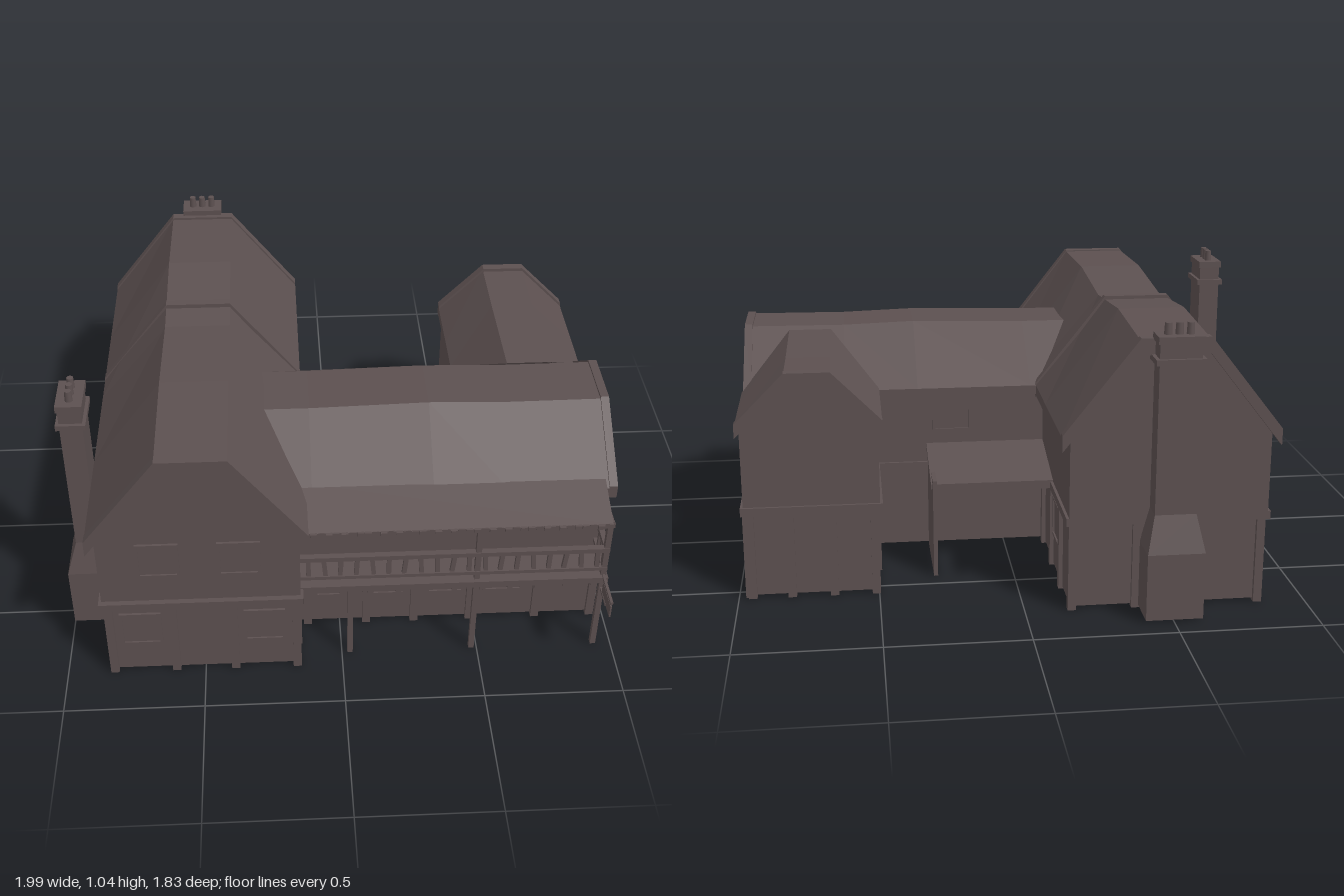
import * as THREE from 'three';

const plaster = new THREE.MeshStandardMaterial({ color: 0x5c5050 });
plaster.name = 'umber grey';

// Sweep a counter-clockwise (u, v) polygon through stations; place() gives the 3D point.
function loft(poly, stations, place) {
  const ring = stations.map((s) => poly.map(([u, v]) => place(u, v, s)));
  const pos = [];
  const tri = (a, b, c) => pos.push(...a, ...b, ...c);
  const n = poly.length;
  for (let k = 0; k + 1 < ring.length; k++) {
    for (let i = 0; i < n; i++) {
      const j = (i + 1) % n, p = ring[k], q = ring[k + 1];
      tri(p[i], p[j], q[j]);
      tri(p[i], q[j], q[i]);
    }
  }
  const caps = THREE.ShapeUtils.triangulateShape(poly.map((p) => new THREE.Vector2(...p)), []);
  const last = ring[ring.length - 1];
  for (const [a, b, c] of caps) {
    tri(ring[0][a], ring[0][c], ring[0][b]);
    tri(last[a], last[b], last[c]);
  }
  const g = new THREE.BufferGeometry();
  g.setAttribute('position', new THREE.Float32BufferAttribute(pos, 3));
  g.computeVertexNormals();
  return g;
}

// Polygon of a bent slab: the profile runs left to right, thickness goes down.
const slab = (prof, th, lift = 0) => [
  ...prof.map(([u, v]) => [u, v + lift - th]),
  ...prof.map(([u, v]) => [u, v + lift]).reverse(),
];
// Wall polygon that fills the space under a roof profile.
const infill = (prof, u0, u1, y0) => [
  [u0, y0], [u1, y0], [u1, 0.635], [prof[2][0] - 0.005, prof[2][1] - 0.025],
  [prof[1][0] + 0.005, prof[1][1] - 0.025], [u0, 0.635],
];

export function createModel() {
  const root = new THREE.Group();
  root.name = 'inn';
  const add = (name, geo, parent = root) => {
    const m = new THREE.Mesh(geo, plaster);
    m.name = name;
    parent.add(m);
    return m;
  };
  const box = (name, x0, x1, y0, y1, z0, z1, parent = root) => {
    const m = add(name, new THREE.BoxGeometry(x1 - x0, y1 - y0, z1 - z0), parent);
    m.position.set((x0 + x1) / 2, (y0 + y1) / 2, (z0 + z1) / 2);
    return m;
  };
  // Stations are [distance, sag]; the sag only moves points above the eaves.
  const sagY = (v, s) => v + s * Math.max(0, (v - 0.65) / 0.33);
  const alongZ = (u, v, [t, s]) => [u, sagY(v, s), t];
  const alongX = (u, v, [t, s]) => [t, sagY(v, s), -u];

  // West wing
  const west = [[-0.88, 0.64], [-0.62, 0.98], [-0.38, 0.98], [-0.12, 0.64]];
  const westRun = [[-0.79, -0.01], [-0.4, 0.01], [0, -0.025], [0.4, 0.01], [0.81, 0]];
  box('westGroundFloor', -0.84, -0.16, 0.01, 0.33, -0.77, 0.81);
  add('westUpperFloor', loft(infill(west, -0.85, -0.15, 0.32), westRun, alongZ));
  add('westRoof', loft(slab(west, 0.04), westRun, alongZ));
  for (const [z0, z1, s] of [[-0.81, -0.775, -0.01], [-0.14, -0.11, -0.01], [0.8, 0.84, -0.005]]) {
    add('westBargeboard', loft(slab(west, 0.06, 0.01), [[z0, s], [z1, s]], alongZ));
  }

  // Cross wing, with its profile across -z
  const cross = [[-0.63, 0.64], [-0.36, 0.835], [-0.13, 0.835], [0.14, 0.64]];
  const crossRun = [[-0.4, -0.01], [-0.1, -0.01], [0.33, 0.01], [0.6, -0.005], [0.96, 0]];
  box('crossGroundFloor', -0.3, 0.96, 0.01, 0.33, -0.11, 0.6);
  add('crossUpperFloor', loft(infill(cross, -0.61, 0.12, 0.32), crossRun, alongX));
  add('crossRoof', loft(slab(cross, 0.035), crossRun, alongX));
  add('crossBargeboard', loft(slab(cross, 0.05, 0.008), [[0.95, 0], [0.98, 0]], alongX));

  // East back wing; the roof end follows the valley against the cross wing
  const east = [[0.475, 0.645], [0.65, 0.822], [0.81, 0.822], [0.985, 0.645]];
  const valley = (u, v, [t, s]) =>
    [u, sagY(v, s), t === 'valley' ? -0.14 + Math.max(0, v - 0.64) * 1.35 : t];
  box('eastGroundFloor', 0.5, 0.96, 0.01, 0.33, -0.55, 0.1);
  add('eastUpperFloor', loft(infill(east, 0.49, 0.97, 0.32), [[-0.56, 0], ['valley', 0]], valley));
  add('eastRoof', loft(slab(east, 0.035), [[-0.57, 0], [-0.3, -0.01], ['valley', 0]], valley));
  add('eastBargeboard', loft(slab(east, 0.05, 0.012), [[-0.585, 0], [-0.55, 0]], alongZ));

  // Beams between the floors
  for (const [x0, x1, z0, z1] of [
    [-0.86, -0.14, 0.8, 0.83], [-0.86, -0.14, -0.79, -0.76], [-0.86, -0.83, -0.79, 0.83],
    [-0.17, -0.14, -0.79, 0.83], [0.95, 0.98, -0.57, 0.62], [0.48, 0.98, -0.57, -0.54],
    [0.48, 0.51, -0.57, -0.1], [-0.15, 0.5, -0.13, -0.1],
  ]) box('floorBeam', x0, x1, 0.315, 0.345, z0, z1);

  // Upright timbers on the ground floor
  const post = (x, z) => box('timberPost', x - 0.015, x + 0.015, 0, 0.32, z - 0.015, z + 0.015);
  for (const x of [-0.83, -0.605, -0.39, -0.165]) { post(x, 0.81); post(x, -0.77); }
  for (const z of [-0.54, -0.31, -0.09, 0.15, 0.37, 0.6]) post(-0.84, z);
  for (const z of [-0.58, -0.36, -0.14, 0.7]) post(-0.16, z);
  for (const x of [-0.12, 0.1, 0.28, 0.49, 0.74, 0.95]) post(x, 0.6);
  for (const z of [-0.54, -0.42, -0.29, -0.09, 0.1, 0.36]) post(0.96, z);
  for (const x of [0.51, 0.66, 0.81, 0.95]) post(x, -0.55);
  for (const z of [-0.34, -0.13]) post(0.5, z);

  // Windows: a thin pane with frame bars, turned to face outwards
  function windowAt(x, y, z, turn, slats = 0) {
    const g = new THREE.Group();
    g.name = 'window';
    g.position.set(x, y, z);
    g.rotation.y = turn;
    root.add(g);
    box('pane', -0.07, 0.07, -0.07, 0.07, -0.002, 0.003, g);
    for (const s of [-1, 1]) {
      box('jamb', s * 0.069 - 0.005, s * 0.069 + 0.005, -0.074, 0.074, 0, 0.009, g);
      box('rail', -0.064, 0.064, s * 0.069 - 0.005, s * 0.069 + 0.005, 0, 0.009, g);
    }
    for (let i = 1; i <= slats; i++) {
      const sy = -0.07 + (0.14 * i) / (slats + 1);
      box('slat', -0.064, 0.064, sy - 0.005, sy + 0.005, 0, 0.008, g);
    }
  }
  const R = Math.PI / 2;
  for (const x of [-0.72, -0.28]) windowAt(x, 0.21, 0.81, 0);
  for (const x of [-0.64, -0.36]) windowAt(x, 0.535, 0.81, 0);
  for (const x of [-0.05, 0.17, 0.39]) windowAt(x, 0.21, 0.6, 0);
  windowAt(0.61, 0.21, 0.6, 0, 5);
  for (const x of [0.1, 0.37, 0.68]) windowAt(x, 0.52, 0.61, 0);
  for (const z of [0.42, 0.1, -0.34]) windowAt(0.97, 0.54, z, R);
  windowAt(0.96, 0.21, 0.02, R);
  for (const z of [-0.65, -0.06, 0.2]) windowAt(-0.85, 0.535, z, -R, z < -0.5 ? 5 : 0);
  for (const z of [-0.65, -0.2, 0.03]) windowAt(-0.84, 0.21, z, -R);
  windowAt(-0.16, 0.21, -0.47, R);
  windowAt(0.2, 0.54, -0.12, 2 * R);

  // Chimneys: tapered stack, cap and three pots; the back faces -z before turning
  function chimney(x, z, turn) {
    const g = new THREE.Group();
    g.name = 'chimney';
    g.position.set(x, 0, z);
    g.rotation.y = turn;
    root.add(g);
    const sections = [[0.01, -0.07, 0.07, 0.1], [0.25, -0.07, 0.07, 0.1], [0.38, -0.03, 0.05, 0.072], [1, -0.03, 0.05, 0.072]];
    const square = [[1, 0], [1, 1], [-1, 1], [-1, 0]];
    add('stack', loft(square, sections, (u, v, [y, z0, z1, w]) =>
      [u * w, y, v ? z0 : z1]), g);
    box('cap', -0.085, 0.085, 0.905, 0.925, -0.042, 0.062, g);
    box('crown', -0.078, 0.078, 0.975, 1, -0.036, 0.056, g);
    for (const px of [-0.038, 0, 0.038]) {
      add('pot', new THREE.CylinderGeometry(0.012, 0.015, 0.06, 10), g).position.set(px, 1.01, 0.01);
    }
  }
  chimney(-0.5, -0.85, 0);
  chimney(-0.93, 0.465, R);

  // Gallery: floor, lean-to roof with ragged shingles, posts and railing
  box('galleryFloor', -0.15, 0.95, 0.325, 0.35, 0.6, 0.78);
  add('galleryRoof', loft(slab([[-0.775, 0.6], [-0.58, 0.668]], 0.018), [[-0.15, 0], [0.94, 0]], alongX));
  for (let i = 0; i < 40; i++) {
    const x = -0.14 + i * 0.027;
    box('shingle', x, x + 0.023, 0.586, 0.601, 0.76, 0.78 + 0.006 * Math.sin(i * 2.7));
  }
  box('galleryBeam', -0.15, 0.95, 0.575, 0.592, 0.745, 0.765);
  for (const x of [0.03, 0.48, 0.935]) {
    box('galleryPost', x - 0.01, x + 0.01, 0, x < 0.1 ? 0.34 : 0.59, 0.745, 0.765);
  }
  for (const [y, h] of [[0.375, 0.014], [0.46, 0.018]]) {
    box('galleryRail', -0.15, 0.945, y, y + h, 0.745, 0.768);
    box('galleryEndRail', 0.925, 0.945, y, y + h, 0.61, 0.75);
  }
  for (let i = 0; i < 19; i++) {
    const b = box('baluster', -0.008, 0.008, 0.38, 0.465, 0.75, 0.763);
    b.position.x = -0.12 + i * 0.057;
    b.rotation.z = 0.1 * Math.sin(i * 1.9);
  }
  for (const z of [0.65, 0.69, 0.73]) box('endBaluster', 0.93, 0.943, 0.38, 0.465, z - 0.006, z + 0.006);
  for (let i = 0; i < 11; i++) box('joist', -0.11 + i * 0.1, -0.09 + i * 0.1, 0.308, 0.326, 0.6, 0.775);
  // Arched brace at the gallery end
  const arch = new THREE.QuadraticBezierCurve3(
    new THREE.Vector3(0.935, 0.52, 0.61), new THREE.Vector3(0.935, 0.64, 0.685), new THREE.Vector3(0.935, 0.52, 0.755));
  add('archBrace', new THREE.TubeGeometry(arch, 10, 0.01, 6));
  box('endBeam', 0.925, 0.945, 0.585, 0.603, 0.6, 0.765);

  // Hanging board on its bracket
  box('signArm', 0.93, 0.94, 0.345, 0.355, 0.76, 0.91);
  box('signBoard', 0.932, 0.938, 0.285, 0.335, 0.785, 0.91);
  box('signLowerArm', 0.93, 0.94, 0.28, 0.29, 0.76, 0.85);

  // Courtyard shelter
  add('shelterRoof', loft(slab([[0.11, 0.42], [0.405, 0.35]], 0.018), [[-0.16, 0], [0.3, 0]], alongX));
  box('shelterScreen', 0.28, 0.295, 0, 0.37, -0.43, -0.11);
  box('shelterBeam', -0.15, 0.29, 0.315, 0.335, -0.395, -0.375);
  return root;
}
